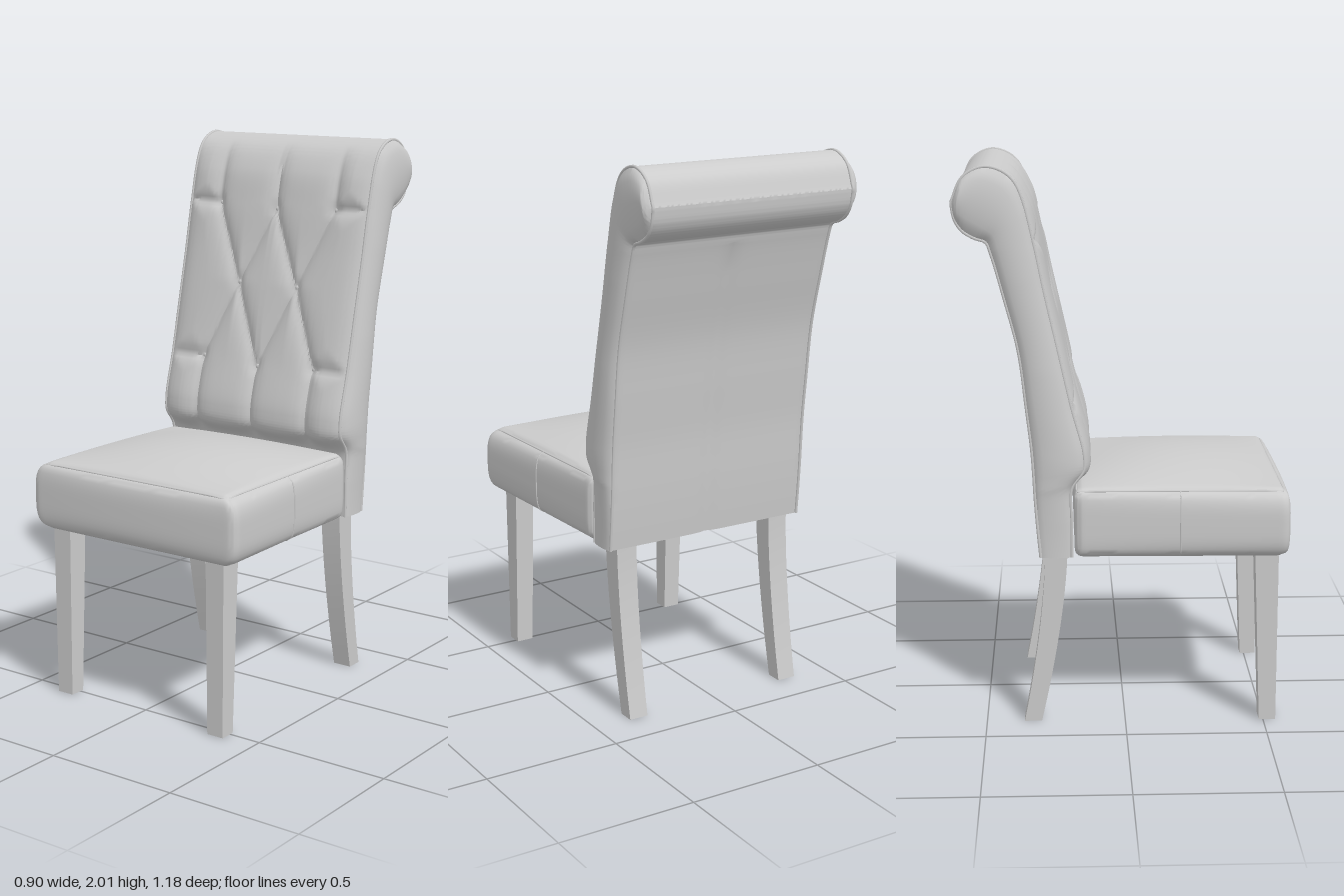
import * as THREE from 'three';
import { toCreasedNormals } from 'three/addons/utils/BufferGeometryUtils.js';

const material = new THREE.MeshStandardMaterial({ color: 0xcccccc });
const V = (x, y, z) => new THREE.Vector3(x, y, z);

function part(name, geometry, crease) {
  const mesh = new THREE.Mesh(crease ? toCreasedNormals(geometry, crease) : geometry, material);
  mesh.name = name;
  return mesh;
}

function cord(name, points, radius, closed = false) {
  const curve = new THREE.CatmullRomCurve3(points, closed);
  return part(name, new THREE.TubeGeometry(curve, points.length * 2, radius, 6, closed));
}

// ---- Backrest: matching front and rear side-profile points [z, y], rolled over at the top
const FRONT = [[-0.19, 0.63], [-0.19, 0.75], [-0.185, 0.87], [-0.125, 0.93], [-0.12, 1.0], [-0.165, 1.18],
  [-0.21, 1.38], [-0.255, 1.58], [-0.29, 1.75], [-0.325, 1.88], [-0.385, 1.965], [-0.475, 2.0], [-0.55, 1.965], [-0.59, 1.88]];
const REAR = [[-0.30, 0.63], [-0.31, 0.74], [-0.318, 0.85], [-0.322, 0.93], [-0.328, 1.02], [-0.345, 1.17],
  [-0.37, 1.37], [-0.415, 1.55], [-0.46, 1.71], [-0.475, 1.745], [-0.515, 1.76], [-0.555, 1.785], [-0.58, 1.825], [-0.59, 1.88]];
const toCurve = (p) => new THREE.CatmullRomCurve3(p.map(([z, y]) => V(0, y, z)));
const frontCurve = toCurve(FRONT);
const rearCurve = toCurve(REAR);
const HALF = 0.4;

// Button positions and the creases that join them
const BUTTONS = [[-0.26, 1.75], [0, 1.74], [0.26, 1.75], [-0.13, 1.46], [0.13, 1.46], [-0.25, 1.175], [0, 1.16], [0.25, 1.175]];
const CREASES = [[0, 1.74, 0, 1.96], [0, 1.16, 0, 0.9]];
for (const s of [-1, 1]) {
  CREASES.push(
    [s * 0.26, 1.75, s * 0.13, 1.46], [0, 1.74, s * 0.13, 1.46],
    [s * 0.13, 1.46, s * 0.25, 1.175], [s * 0.13, 1.46, 0, 1.16],
    [s * 0.26, 1.75, s * 0.26, 1.96], [s * 0.26, 1.75, s * 0.4, 1.755],
    [s * 0.25, 1.175, s * 0.25, 0.9], [s * 0.25, 1.175, s * 0.4, 1.175]);
}

function creaseDistance(x, y) {
  let best = 1;
  for (const [ax, ay, bx, by] of CREASES) {
    const dx = bx - ax, dy = by - ay;
    const k = THREE.MathUtils.clamp(((x - ax) * dx + (y - ay) * dy) / (dx * dx + dy * dy), 0, 1);
    best = Math.min(best, Math.hypot(x - ax - k * dx, y - ay - k * dy));
  }
  return best;
}

// Point on the tufted front, pressed in along the profile normal
function frontPoint(x, t) {
  const p = frontCurve.getPoint(t);
  const tan = frontCurve.getTangent(t);
  const fade = (1 - THREE.MathUtils.smoothstep(t, 8.5 / 13, 10.5 / 13)) * THREE.MathUtils.smoothstep(t, 1.5 / 13, 3 / 13);
  let depth = 0.024 * Math.exp(-creaseDistance(x, p.y) / 0.03);
  for (const [bx, by] of BUTTONS) depth += 0.01 * Math.exp(-((x - bx) ** 2 + (p.y - by) ** 2) / 0.0006);
  depth = Math.max(depth, 0.026 * Math.exp(-(HALF - Math.abs(x)) / 0.035)) * fade;
  return V(x, p.y + tan.z * depth, p.z - tan.y * depth);
}

// Point on the rear, with a sewn seam down the middle
function rearPoint(x, t) {
  const p = rearCurve.getPoint(t);
  const flat = 1 - THREE.MathUtils.smoothstep(t, 7.3 / 13, 8.2 / 13);
  return V(x, p.y, p.z + 0.01 * flat * Math.exp(-Math.abs(x) / 0.02));
}

function backRing(t) {
  const ring = [], nFront = 100, nSide = 10, nRear = 32;
  const a = [frontPoint(-HALF, t), frontPoint(HALF, t)];
  const b = [rearPoint(-HALF, t), rearPoint(HALF, t)];
  const bulge = 0.032 * Math.min(1, a[0].distanceTo(b[0]) / 0.14) * (0.4 + 0.6 * THREE.MathUtils.smoothstep(t, 0, 0.3));
  const side = (from, to, sign) => {
    for (let i = 0; i < nSide; i++) {
      const p = from.clone().lerp(to, i / nSide);
      p.x += sign * bulge * Math.sqrt(Math.sin(Math.PI * i / nSide));
      ring.push(p);
    }
  };
  for (let i = 0; i < nFront; i++) ring.push(frontPoint(HALF * (2 * i / nFront - 1), t));
  side(a[1], b[1], 1);
  for (let i = 0; i < nRear; i++) ring.push(rearPoint(HALF * (1 - 2 * i / nRear), t));
  side(b[0], a[0], -1);
  return ring;
}

function backGeometry() {
  const rows = 160, rings = [];
  for (let i = 0; i <= rows; i++) rings.push(backRing(i / rows));
  // Underside: the first ring drawn in to its centre line
  rings.unshift(rings[0].map((p) => V(p.x * 0.85, 0.625, -0.245)));
  const n = rings[0].length, index = [];
  for (let i = 0; i < rings.length - 1; i++) {
    for (let j = 0; j < n; j++) {
      const a = i * n + j, b = i * n + (j + 1) % n;
      index.push(a, b, b + n, a, b + n, a + n);
    }
  }
  const g = new THREE.BufferGeometry().setFromPoints(rings.flat());
  g.setIndex(index);
  g.computeVertexNormals();
  return g;
}

// ---- Seat: rounded, tapered and padded; u, v, w run from -1 to 1
function seatPoint(u, v, w) {
  const half = V(0.405, 0.125, 0.3725), r = 0.028;
  const p = V(u, v, w).multiply(half);
  const inner = p.clone().clamp(half.clone().negate().addScalar(r), half.clone().subScalar(r));
  const off = p.clone().sub(inner);
  if (off.length() > r) p.copy(inner).add(off.setLength(r));
  p.x += u * (0.008 * w + (0.012 + 0.014 * (w + 1)) * (1 - v ** 4));
  p.y += 0.75 + 0.055 * Math.max(0, v) * (1 - u * u) * (1 - w * w);
  p.z += 0.1925 + 0.025 * Math.max(0, w) ** 2 * (1 - v ** 4) * (1 - 0.5 * u * u);
  return p;
}

function reshape(geometry, rule) {
  const pos = geometry.attributes.position, p = V(0, 0, 0);
  for (let i = 0; i < pos.count; i++) {
    p.copy(rule(p.fromBufferAttribute(pos, i)));
    pos.setXYZ(i, p.x, p.y, p.z);
  }
  geometry.computeVertexNormals();
  return geometry;
}

// ---- Legs: boxes whose cross-section follows the height k (0 floor, 1 top)
function leg(name, x, section) {
  const g = reshape(new THREE.BoxGeometry(1, 1, 1, 1, 12, 1), (p) => {
    const k = p.y + 0.5;
    const [z, width, depth] = section(k);
    return V(x + p.x * width, k * 0.65, z + p.z * depth);
  });
  return part(name, g, 0.6);
}

export function createModel() {
  const chair = new THREE.Group();
  chair.name = 'diningChair';

  chair.add(part('backrest', backGeometry(), 0.9));

  const ease = (c) => Math.sin(c * Math.PI / 2);
  const seat = reshape(new THREE.BoxGeometry(2, 2, 2, 40, 20, 40), (p) => seatPoint(ease(p.x), ease(p.y), ease(p.z)));
  chair.add(part('seat', seat, 0.9));

  // Buttons sunk where the creases meet
  for (const [x, y] of BUTTONS) {
    let lo = 3 / 13, hi = 10 / 13;
    for (let i = 0; i < 24; i++) {
      const mid = (lo + hi) / 2;
      if (frontCurve.getPoint(mid).y < y) lo = mid; else hi = mid;
    }
    const button = part('button', new THREE.SphereGeometry(0.01, 12, 8));
    button.position.copy(frontPoint(x, lo));
    button.scale.z = 0.6;
    chair.add(button);
  }

  // Piping round the top of the seat
  const corners = [[-1, -1], [1, -1], [1, 1], [-1, 1]], rim = [];
  corners.forEach(([x, z], i) => {
    const [x2, z2] = corners[(i + 1) % 4];
    for (let k = 0; k < 12; k++) rim.push(seatPoint(x + (x2 - x) * k / 12, 1, z + (z2 - z) * k / 12));
  });
  chair.add(cord('seatPiping', rim, 0.004, true));

  for (const s of [-1, 1]) {
    // Piping round each side of the backrest
    const edge = [];
    for (let i = 0; i <= 60; i++) edge.push(frontPoint(s * HALF, i / 60));
    for (let i = 59; i >= 0; i--) edge.push(rearPoint(s * HALF, i / 60));
    chair.add(cord('backPiping', edge, 0.006));

    // Side seam of the seat
    const seam = [];
    for (let i = 0; i <= 10; i++) seam.push(seatPoint(s, -1 + i / 5, 0));
    chair.add(cord('seatSeam', seam, 0.003));

    chair.add(leg('frontLeg', s * 0.343, (k) => [0.515 - 0.012 * k, 0.066 + 0.01 * k, 0.06 + 0.025 * k]));
    chair.add(leg('backLeg', s * 0.325, (k) => [-0.245 - 0.088 * (1 - k) ** 1.6, 0.072 + 0.008 * k, 0.062 + 0.018 * k]));
  }
  return chair;
}
